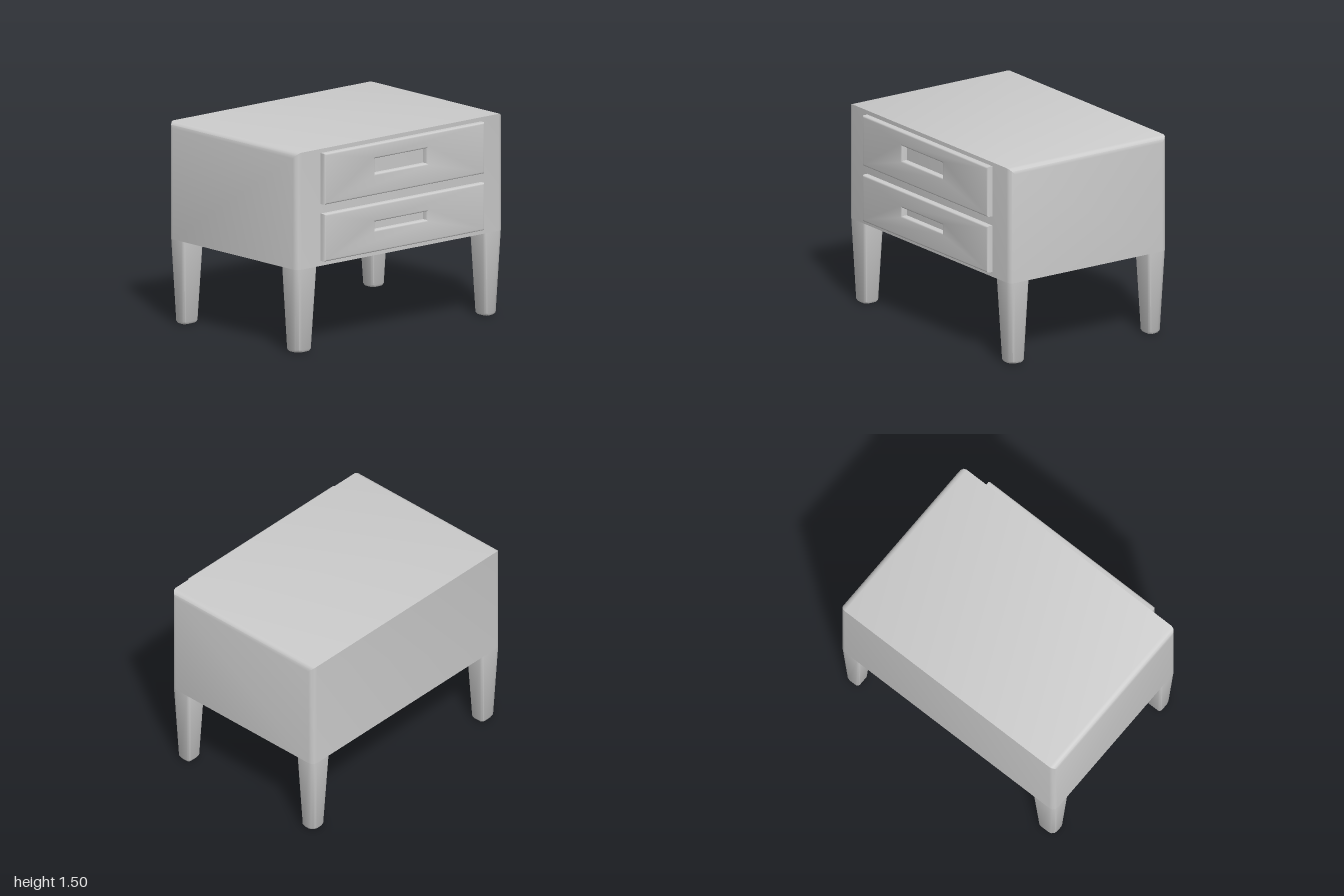
import * as THREE from 'three';
import { toCreasedNormals } from 'three/addons/utils/BufferGeometryUtils.js';

const material = new THREE.MeshStandardMaterial({ color: 0xcccccc });

function addMesh(group, name, geometry) {
  const mesh = new THREE.Mesh(toCreasedNormals(geometry, 0.7), material);
  mesh.name = name;
  group.add(mesh);
  return mesh;
}

// Skin equal-sized rings (counter-clockwise about the direction of travel) and cap both ends
function loft(rings) {
  const n = rings[0].length, last = (rings.length - 1) * n, index = [];
  for (let i = 0; i < rings.length - 1; i++) {
    for (let j = 0; j < n; j++) {
      const a = i * n + j, b = i * n + (j + 1) % n;
      index.push(a, b, b + n, a, b + n, a + n);
    }
  }
  for (let j = 1; j < n - 1; j++) {
    index.push(0, j + 1, j, last, last + j, last + j + 1);
  }
  const geometry = new THREE.BufferGeometry();
  geometry.setAttribute('position', new THREE.Float32BufferAttribute(rings.flat(2), 3));
  geometry.setIndex(index);
  return geometry;
}

// Cabinet: side-on rectangle swept along x, its top, front and back edges rounded at each side
function cabinetGeometry() {
  const r = 0.045, steps = 3, stations = [];
  for (let k = 0; k <= steps; k++) {
    const a = (k / steps) * Math.PI / 2;
    stations.push([1 - r + r * Math.cos(a), r * (1 - Math.sin(a))]);
  }
  const all = [...stations.map(([x, d]) => [-x, d]), ...stations.slice().reverse()];
  return loft(all.map(([x, d]) => {
    const back = -0.725 + d, front = 0.68 - d, top = 1.5 - d;
    return [[x, 0.63, back], [x, top, back], [x, top, front], [x, 0.63, front]];
  }));
}

// Rounded rectangle in the xz plane; the corner facing (sx, sz) is the outer one
function legRing(y, [x0, x1], [z0, z1], inset, sx, sz) {
  const ring = [], corners = [[-1, -1], [-1, 1], [1, 1], [1, -1]];
  corners.forEach(([cx, cz], c) => {
    const r = cx === sx && cz === sz ? 0.045 : 0.022;
    const x = cx > 0 ? x1 - inset - r : x0 + inset + r;
    const z = cz > 0 ? z1 - inset - r : z0 + inset + r;
    for (let k = 0; k <= 3; k++) {
      const a = Math.PI + (c + k / 3) * Math.PI / 2;
      ring.push([x + r * Math.sin(a), y, z + r * Math.cos(a)]);
    }
  });
  return ring;
}

// Tapered leg with a softened foot
function legGeometry(sx, sz) {
  const topX = sx > 0 ? [0.82, 1] : [-1, -0.80];
  const footX = sx > 0 ? [0.85, 0.973] : [-0.973, -0.83];
  const topZ = sz > 0 ? [0.505, 0.68] : [-0.725, -0.56];
  const footZ = sz > 0 ? [0.528, 0.655] : [-0.70, -0.585];
  return loft([
    legRing(0, footX, footZ, 0.022, sx, sz),
    legRing(0.006, footX, footZ, 0.008, sx, sz),
    legRing(0.022, footX, footZ, 0, sx, sz),
    legRing(0.632, topX, topZ, 0, sx, sz),
  ]);
}

function rectangle(Type, x0, x1, y0, y1) {
  const path = new Type();
  path.moveTo(x0, y0).lineTo(x1, y0).lineTo(x1, y1).lineTo(x0, y1).closePath();
  return path;
}

// Drawer front with bevelled rim and an oblong finger recess
function drawerGeometry(y0, y1, pull0, pull1) {
  const b = 0.014;
  const shape = rectangle(THREE.Shape, -0.77, 0.78, y0, y1);
  shape.holes.push(rectangle(THREE.Path, -0.295 + b, 0.235 - b, pull0 + b, pull1 - b));
  return new THREE.ExtrudeGeometry(shape, {
    depth: 0.06, bevelThickness: b, bevelSize: b, bevelOffset: -b, bevelSegments: 3,
  }).translate(0, 0, 0.725 - 0.06 - b);
}

export function createModel() {
  const group = new THREE.Group();
  group.name = 'nightstand';
  addMesh(group, 'cabinet', cabinetGeometry());

  addMesh(group, 'upperDrawer', drawerGeometry(1.09, 1.47, 1.235, 1.375));
  addMesh(group, 'lowerDrawer', drawerGeometry(0.667, 1.02, 0.815, 0.905));

  for (const [sz, row] of [[1, 'front'], [-1, 'back']]) {
    for (const [sx, side] of [[1, 'Left'], [-1, 'Right']]) {
      addMesh(group, `${row}${side}Leg`, legGeometry(sx, sz));
    }
  }
  return group;
}
